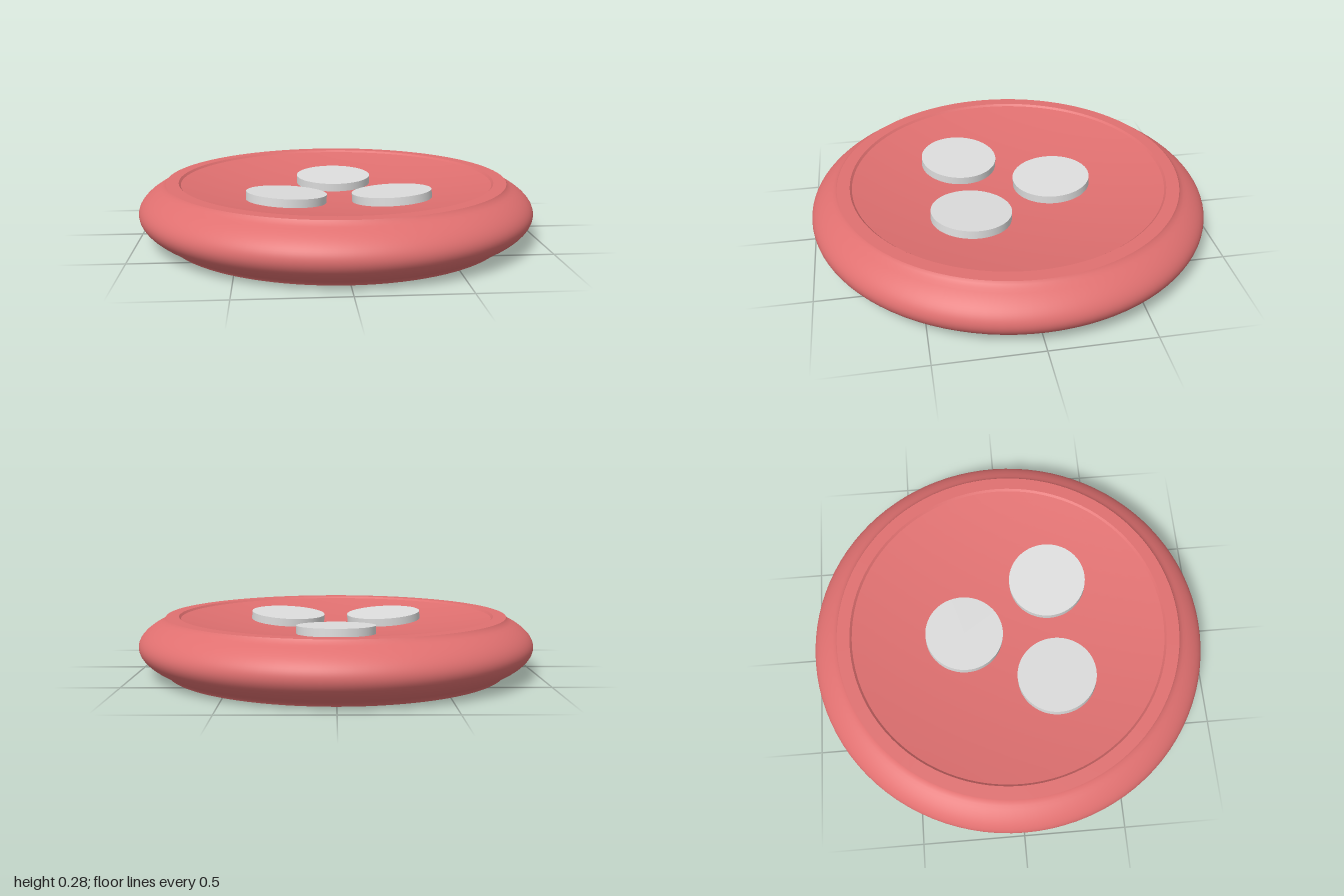
import * as THREE from 'three';

export function createModel() {
  const group = new THREE.Group();
  const red = new THREE.MeshStandardMaterial({ color: 0xe07070 });
  red.name = 'red body';
  const grey = new THREE.MeshStandardMaterial({ color: 0xdddddd });
  grey.name = 'light grey buttons';

  const height = 0.285, mid = height / 2, flatRadius = 0.864;
  const bowlRadius = 0.79, bowlEdge = 0.275, curve = 4.3; // curve: radius of the dish sphere

  const add = (name, geometry, material) => {
    const mesh = new THREE.Mesh(geometry, material);
    mesh.name = name;
    group.add(mesh);
    return mesh;
  };
  // Each smooth band is its own lathe, so the edges between bands stay sharp
  const band = (name, points) =>
    add(name, new THREE.LatheGeometry(points.map(([r, y]) => new THREE.Vector2(r, y)), 96), red);

  // Rounded side: an elliptical bulge with a small flare at both ends
  const side = [[flatRadius, 0], [0.872, 0.012]];
  const start = Math.acos(0.888);
  for (let i = 0; i <= 24; i++) {
    const a = -start + (2 * start * i) / 24;
    side.push([Math.cos(a), mid + 0.26 * Math.sin(a)]);
  }
  side.push([0.872, height - 0.012], [flatRadius, height]);
  band('roundedSide', side);

  band('base', [[0, 0], [flatRadius, 0]]);
  band('topRim', [[flatRadius, height], [0.8, height]]);
  band('rimStep', [[0.8, height], [bowlRadius, bowlEdge]]);

  // Shallow spherical dish
  const drop = (r) => curve - Math.sqrt(curve * curve - r * r);
  const bowlY = (r) => bowlEdge - drop(bowlRadius) + drop(r);
  const dish = [];
  for (let i = 0; i <= 16; i++) {
    const r = bowlRadius * (1 - i / 16);
    dish.push([r, bowlY(r)]);
  }
  band('dish', dish);

  // Three buttons standing square to the dish surface
  const up = new THREE.Vector3(0, 1, 0);
  const disc = new THREE.CylinderGeometry(0.197, 0.197, 0.06, 64);
  for (const [name, x, z] of [['backButton', 0, -0.225], ['rightButton', -0.26, 0.225], ['leftButton', 0.26, 0.225]]) {
    const r = Math.hypot(x, z);
    const normal = new THREE.Vector3(-x, Math.sqrt(curve * curve - r * r), -z).normalize();
    const button = add(name, disc, grey);
    button.position.set(x, bowlY(r) + 0.015, z);
    button.quaternion.setFromUnitVectors(up, normal);
  }
  return group;
}
